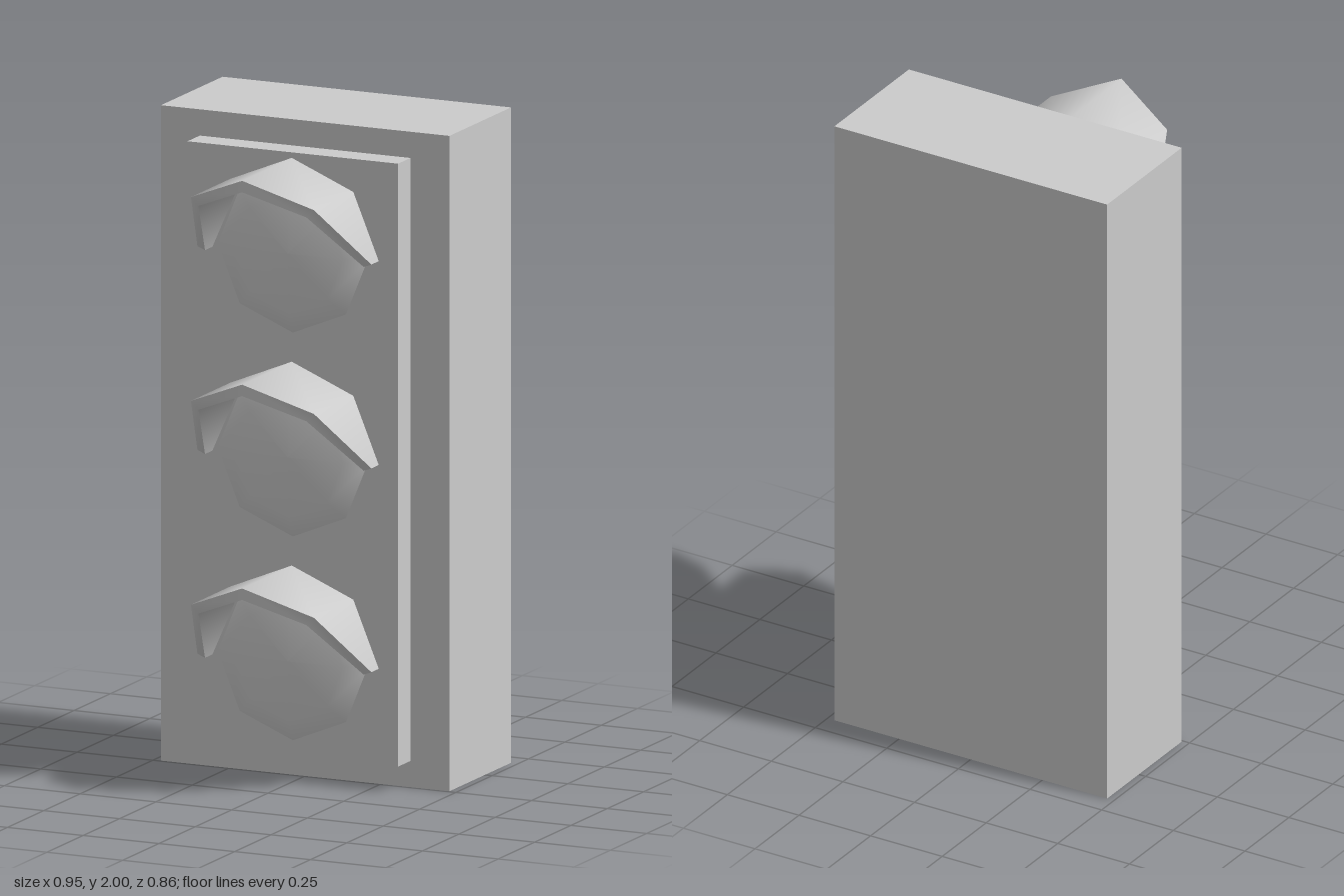
import * as THREE from 'three';
import { mergeGeometries } from 'three/addons/utils/BufferGeometryUtils.js';

const material = new THREE.MeshStandardMaterial({ color: 0xcccccc });

function box(name, w, y0, y1, z0, z1) {
  const mesh = new THREE.Mesh(new THREE.BoxGeometry(w, y1 - y0, z1 - z0), material);
  mesh.position.set(0, (y0 + y1) / 2, (z0 + z1) / 2);
  mesh.name = name;
  return mesh;
}

// Smooth band between two rows of points
function strip(a, b) {
  const n = a.length, index = [];
  for (let i = 0; i < n - 1; i++) {
    index.push(i, i + 1, n + i, i + 1, n + i + 1, n + i);
  }
  const g = new THREE.BufferGeometry();
  g.setAttribute('position', new THREE.Float32BufferAttribute([...a, ...b].flat(), 3));
  g.setIndex(index);
  g.computeVertexNormals();
  return g;
}

// Half-octagon hood, cut back towards its lower ends
function visorGeometry() {
  const back = 0.086;
  const front = [0.137, 0.357, 0.428, 0.357, 0.137];
  const row = (r, drop, zAt) => front.map((z, i) => {
    const a = (i * Math.PI) / 4;
    const end = i % 4 === 0 ? drop : 0;
    return [r * Math.cos(a), r * Math.sin(a) - end, zAt(z)];
  });
  const outerBack = row(0.287, 0, () => back);
  const outerFront = row(0.287, 0, z => z);
  const innerFront = row(0.252, 0.01, z => z);
  const innerBack = row(0.252, 0.01, () => back);
  // Ends sit square to the walls
  for (const r of [innerFront, innerBack]) { r[0][0] = 0.262; r[4][0] = -0.262; }
  return mergeGeometries([
    strip(outerBack, outerFront),
    strip(outerFront, innerFront),
    strip(innerFront, innerBack),
    strip(innerBack, outerBack),
    strip([outerFront[0], innerFront[0]], [outerBack[0], innerBack[0]]),
    strip([outerBack[4], innerBack[4]], [outerFront[4], innerFront[4]]),
  ]);
}

// Shallow eight-sided dome
function lensGeometry() {
  const profile = [[0.25, 0.078], [0.18, 0.11], [0, 0.114]].map(p => new THREE.Vector2(...p));
  return new THREE.LatheGeometry(profile, 8).rotateX(Math.PI / 2);
}

export function createModel() {
  const model = new THREE.Group();
  model.name = 'trafficLight';
  model.add(box('housing', 0.952, 0, 2, -0.43, -0.006));
  model.add(box('facePlate', 0.695, 0.08, 1.92, -0.006, 0.079));

  // Three lamps, each a lens under a visor
  const visor = visorGeometry(), lens = lensGeometry();
  ['lowerLamp', 'middleLamp', 'upperLamp'].forEach((name, i) => {
    const lamp = new THREE.Group();
    lamp.name = name;
    const hood = new THREE.Mesh(visor, material);
    hood.name = 'visor';
    const dome = new THREE.Mesh(lens, material);
    dome.name = 'lens';
    lamp.add(hood, dome);
    lamp.position.y = 0.374 + i * 0.622;
    model.add(lamp);
  });
  return model;
}
